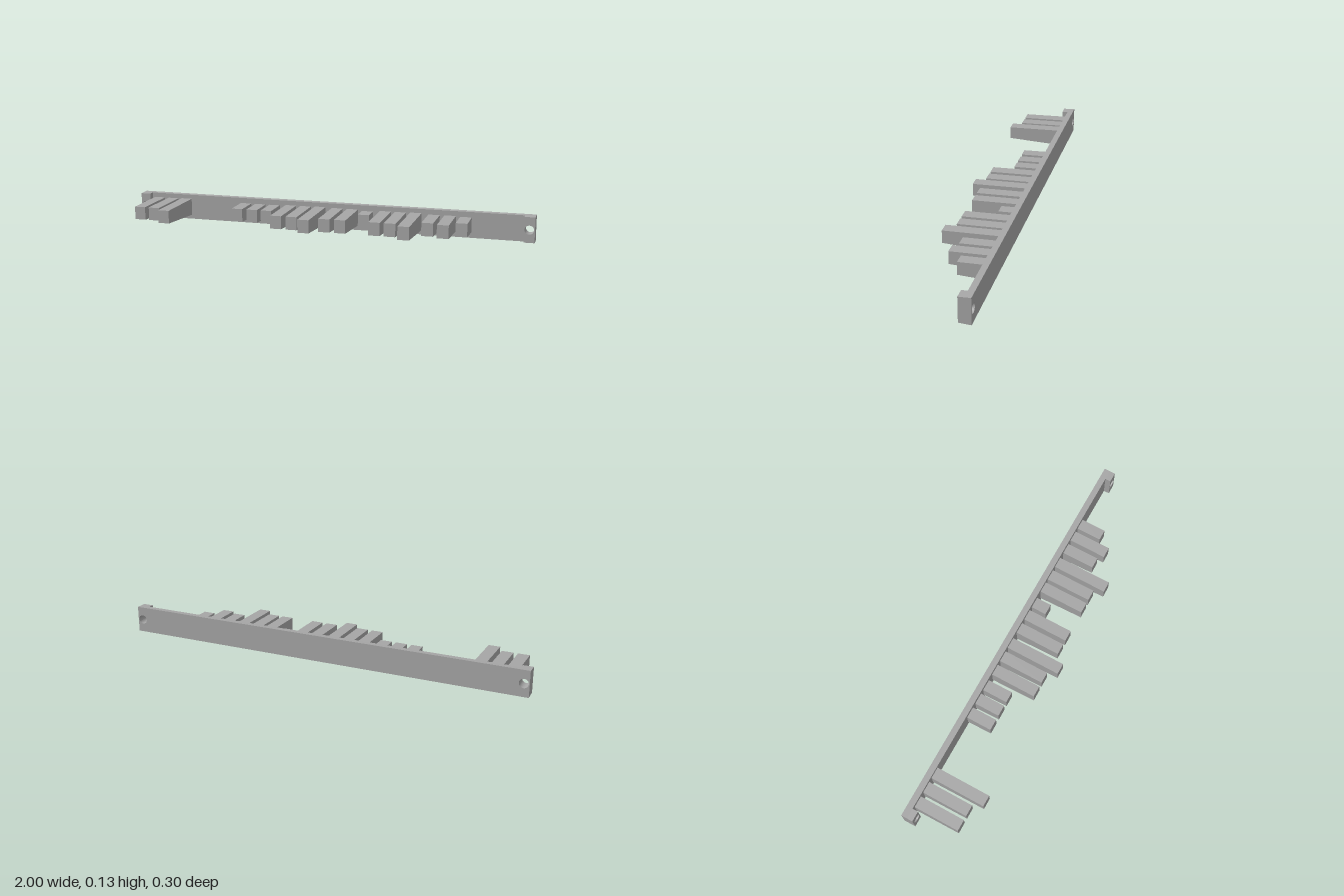
import * as THREE from 'three';

const MID_Y = 0.0635;   // shared horizontal centre line
const BACK = -0.149, FACE = -0.12, BLOCK_FRONT = -0.092;
const HOLE_X = 0.974, HOLE_R = 0.022;

// Narrow a geometry in height as it comes forward, like a moulding draft
function draft(geometry, halfAt) {
  const p = geometry.attributes.position;
  for (let i = 0; i < p.count; i++) {
    p.setY(i, MID_Y + p.getY(i) * halfAt(p.getZ(i)));
  }
  geometry.computeVertexNormals();
  return geometry;
}

// Rectangle x0..x1 of unit half-height, pierced by screw holes, extruded z0..z1
function piercedBar(x0, x1, z0, z1, holes, material) {
  const shape = new THREE.Shape([
    new THREE.Vector2(x0, -1), new THREE.Vector2(x1, -1),
    new THREE.Vector2(x1, 1), new THREE.Vector2(x0, 1),
  ]);
  for (const x of holes) {
    const hole = new THREE.Path();
    hole.absellipse(x, 0, HOLE_R, HOLE_R / MID_Y, 0, Math.PI * 2, true);
    shape.holes.push(hole);
  }
  const g = new THREE.ExtrudeGeometry(shape, { depth: z1 - z0, bevelEnabled: false, curveSegments: 16 });
  g.translate(0, 0, z0);
  return new THREE.Mesh(draft(g, z => MID_Y - (z - BACK) * 0.05), material);
}

export function createModel() {
  const model = new THREE.Group();
  model.name = 'toothedBar';
  const grey = new THREE.MeshStandardMaterial({ color: 0xa6a6a6 });
  grey.name = 'grey';

  // Long backing plate with a screw hole at each end
  const plate = piercedBar(-1, 1, BACK, FACE, [-HOLE_X, HOLE_X], grey);
  plate.name = 'backPlate';
  model.add(plate);

  // Raised end blocks around the holes
  for (const side of [-1, 1]) {
    const a = side * 0.95, b = side;
    const block = piercedBar(Math.min(a, b), Math.max(a, b), FACE, BLOCK_FRONT, [side * HOLE_X], grey);
    block.name = side > 0 ? 'leftEndBlock' : 'rightEndBlock';
    model.add(block);
  }

  // Teeth: [centre x, z of the tip]
  const teeth = [
    [-0.909, 0.103], [-0.834, 0.103], [-0.759, 0.149],
    [-0.433, 0.003], [-0.356, 0.003], [-0.281, 0.003],
    [-0.195, 0.103], [-0.118, 0.103], [-0.043, 0.149],
    [0.045, 0.103], [0.122, 0.103], [0.197, -0.045],
    [0.287, 0.103], [0.361, 0.103], [0.436, 0.149],
    [0.524, 0.041], [0.601, 0.065], [0.676, 0.003],
  ];
  teeth.forEach(([x, tip], i) => {
    const g = new THREE.BoxGeometry(0.055, 2, tip - FACE);
    g.translate(x, 0, (tip + FACE) / 2);
    draft(g, z => 0.0315 + (tip - z) * 0.0375);
    const tooth = new THREE.Mesh(g, grey);
    tooth.name = `tooth${i + 1}`;
    model.add(tooth);
  });

  return model;
}
